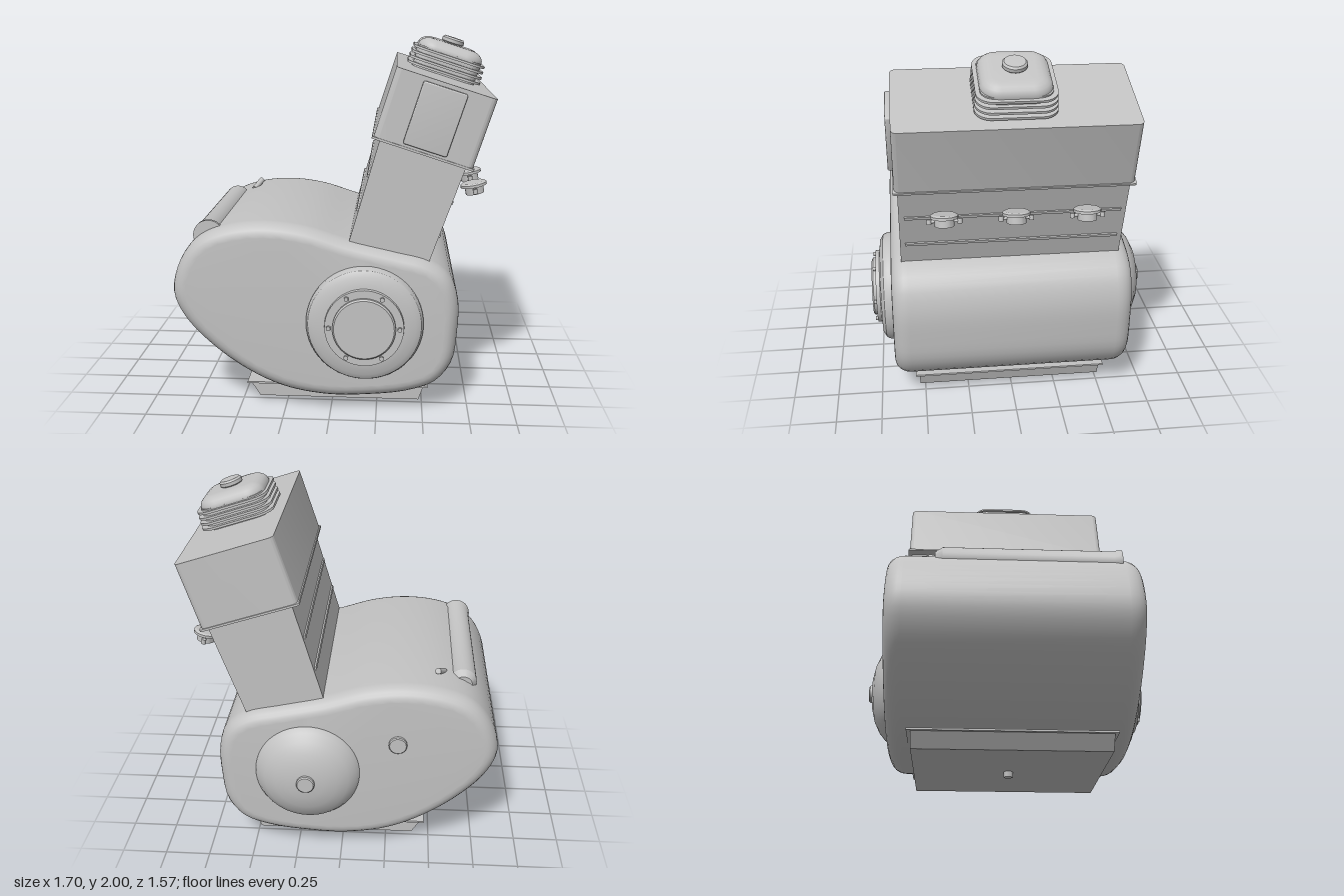
import * as THREE from 'three';
import { toCreasedNormals } from 'three/addons/utils/BufferGeometryUtils.js';

const grey = new THREE.MeshStandardMaterial({ color: 0xc2c2c2 });
grey.name = 'castGrey';

function add(parent, name, geometry, x = 0, y = 0, z = 0) {
  const mesh = new THREE.Mesh(geometry, grey);
  mesh.name = name;
  mesh.position.set(x, y, z);
  parent.add(mesh);
  return mesh;
}

function roundedRect(w, d, r) {
  const s = new THREE.Shape(), a = w / 2, b = d / 2;
  s.moveTo(a, -b + r);
  s.lineTo(a, b - r);
  s.absarc(a - r, b - r, r, 0, Math.PI / 2);
  s.lineTo(-a + r, b);
  s.absarc(-a + r, b - r, r, Math.PI / 2, Math.PI);
  s.lineTo(-a, -b + r);
  s.absarc(-a + r, -b + r, r, Math.PI, Math.PI * 1.5);
  s.lineTo(a - r, -b);
  s.absarc(a - r, -b + r, r, Math.PI * 1.5, Math.PI * 2);
  return s;
}

// Rounded slab standing on y = 0; bevel rounds its top and bottom inwards
function slab(w, d, h, r, bevel = 0, rise = bevel) {
  const g = new THREE.ExtrudeGeometry(roundedRect(w, d, r), {
    depth: h - 2 * rise, curveSegments: 6, bevelEnabled: bevel > 0,
    bevelSize: bevel, bevelThickness: rise, bevelOffset: -bevel, bevelSegments: 5,
  });
  g.translate(0, 0, rise).rotateX(-Math.PI / 2);
  return toCreasedNormals(g, 0.6);
}

// Turned part along +y from [radius, height] pairs
function turned(profile, segments = 40) {
  const g = new THREE.LatheGeometry(profile.map(p => new THREE.Vector2(...p)), segments);
  return toCreasedNormals(g, 0.5);
}

// Narrow or widen a box in x and z towards its bottom
function taperedBox(w, h, d, kx, kz, shift = 0) {
  const g = new THREE.BoxGeometry(w, h, d), p = g.attributes.position;
  for (let i = 0; i < p.count; i++) {
    if (p.getY(i) < 0) p.setXYZ(i, p.getX(i) * kx + shift, p.getY(i), p.getZ(i) * kz);
  }
  g.computeVertexNormals();
  return g;
}

export function createModel() {
  const model = new THREE.Group();
  model.name = 'engine';

  // Egg-shaped crankcase with rounded rims
  const outline = new THREE.CatmullRomCurve3([
    [-0.855, 0.66], [-0.8, 0.52], [-0.65, 0.355], [-0.45, 0.21], [-0.25, 0.12], [-0.02, 0.08],
    [0.2, 0.085], [0.42, 0.115], [0.57, 0.175], [0.655, 0.29], [0.68, 0.45], [0.68, 0.64],
    [0.63, 0.78], [0.52, 0.86], [0.34, 0.905], [0.1, 0.96], [-0.13, 1.03], [-0.35, 1.055],
    [-0.56, 1.03], [-0.71, 0.965], [-0.81, 0.84],
  ].map(p => new THREE.Vector3(p[0], p[1], 0)), true);
  const caseShape = new THREE.Shape(
    outline.getSpacedPoints(90).slice(0, -1).map(p => new THREE.Vector2(p.x, p.y)));
  const caseGeo = new THREE.ExtrudeGeometry(caseShape, {
    depth: 1.14, bevelSize: 0.075, bevelThickness: 0.09, bevelOffset: -0.075, bevelSegments: 6,
  });
  add(model, 'crankcase', toCreasedNormals(caseGeo.translate(0, 0, -0.565), 0.6));

  // Front cover with bolted cap
  const front = new THREE.Group();
  front.name = 'frontCover';
  front.position.set(0.185, 0.525, 0.66);
  front.rotation.x = Math.PI / 2;
  model.add(front);
  add(front, 'coverFlange', turned([[0.312, -0.03], [0.312, 0.025], [0.3, 0.05],
    [0.27, 0.068], [0.22, 0.073], [0.21, 0.075], [0.208, 0.097], [0, 0.097]], 56));
  add(front, 'coverCap', turned([[0.166, 0.09], [0.166, 0.113], [0.158, 0.121], [0, 0.121]], 48));
  for (let i = 0; i < 6; i++) {
    const a = i * Math.PI / 3;
    add(front, 'coverBolt', new THREE.CylinderGeometry(0.013, 0.013, 0.024, 6),
      0.187 * Math.cos(a), 0.1, 0.187 * Math.sin(a));
  }

  // Back dome with its knob, and a small plug beside it
  const back = new THREE.Group();
  back.name = 'backCover';
  back.position.set(0.185, 0.525, -0.65);
  back.rotation.x = -Math.PI / 2;
  model.add(back);
  add(back, 'backDome', turned([[0.288, -0.03], [0.288, 0.012], [0.27, 0.04], [0.23, 0.073],
    [0.17, 0.102], [0.1, 0.12], [0, 0.126]], 56));
  add(back, 'backKnob', turned([[0.05, 0.1], [0.05, 0.136], [0.044, 0.142], [0, 0.142]], 24));
  const plug = add(model, 'backPlug', turned([[0.05, -0.02], [0.05, 0.02], [0.045, 0.026], [0, 0.026]], 24),
    -0.31, 0.72, -0.65);
  plug.rotation.x = -Math.PI / 2;

  // Oil pan, rim and drain plug
  add(model, 'oilPan', taperedBox(0.965, 0.085, 1.045, 0.915, 0.995, 0.012), 0.028, 0.0725, 0.01);
  add(model, 'panRim', new THREE.BoxGeometry(1.0, 0.01, 1.085), 0.03, 0.115, 0.01);
  add(model, 'drainPlug', new THREE.CylinderGeometry(0.026, 0.026, 0.05, 6), 0.028, 0.025, 0.01);

  // Tube lying on the shoulder, and a small angled peg
  const tube = add(model, 'shoulderTube', turned([[0, 0], [0.083, 0], [0.083, 0.02], [0.076, 0.04],
    [0.076, 0.94], [0.05, 0.98], [0, 0.98]], 32), -0.66, 0.965, 0.57);
  tube.rotation.x = -Math.PI / 2;
  const peg = add(model, 'peg', new THREE.CylinderGeometry(0.017, 0.017, 0.1, 16), -0.535, 1.045, -0.405);
  peg.quaternion.setFromUnitVectors(new THREE.Vector3(0, 1, 0),
    new THREE.Vector3(0.03, 0.035, -0.07).normalize());

  // Leaning cylinder block; its own origin is the middle of the head joint
  const tower = new THREE.Group();
  tower.name = 'cylinderTower';
  tower.position.set(0.475, 1.423, 0.008);
  tower.rotation.z = -0.309;
  model.add(tower);
  add(tower, 'cylinderBlock', taperedBox(0.466, 0.76, 1.195, 0.91, 1), 0, -0.37, 0);
  for (const side of [-1, 1]) {
    for (const v of [-0.2, -0.39]) {
      add(tower, 'blockRib', new THREE.BoxGeometry(0.022, 0.016, 1.14), side * (0.229 + 0.02 * v), v, 0);
    }
  }

  // Head with bottom lip and front panel
  add(tower, 'headLip', slab(0.552, 1.24, 0.012, 0.012));
  add(tower, 'head', slab(0.537, 1.226, 0.384, 0.03));
  const panel = add(tower, 'headPanel', slab(0.235, 0.335, 0.05, 0.012, 0.008), 0, 0.195, 0.59);
  panel.rotation.x = Math.PI / 2;

  // Finned cap on the head
  add(tower, 'capCore', slab(0.36, 0.36, 0.13, 0.07), 0, 0.375, 0);
  for (let i = 0; i < 4; i++) {
    add(tower, 'capFin', slab(0.42 - i * 0.004, 0.416 - i * 0.004, 0.013, 0.085), 0, 0.394 + i * 0.03, 0);
  }
  add(tower, 'capDome', slab(0.37, 0.36, 0.16, 0.1, 0.075, 0.055), 0, 0.398, 0);
  add(tower, 'capKnob', turned([[0.05, 0], [0.063, 0.012], [0.063, 0.03], [0.054, 0.04], [0, 0.042]], 28),
    0, 0.552, 0);

  // Row of three eared caps beside the block
  for (const z of [0.375, 0.01, -0.355]) {
    const cap = new THREE.Group();
    cap.name = 'sideCap';
    cap.position.set(0.763, 1.205, z);
    cap.rotation.z = 0.2;
    model.add(cap);
    add(cap, 'capLid', turned([[0, -0.03], [0.05, -0.03], [0.05, 0.008], [0.071, 0.012],
      [0.071, 0.026], [0.06, 0.033], [0, 0.033]], 28));
    const bar = add(cap, 'earBar', new THREE.CylinderGeometry(0.008, 0.008, 0.16, 10), 0, -0.005, 0);
    bar.rotation.x = Math.PI / 2;
    for (const s of [-1, 1]) {
      add(cap, 'ear', new THREE.CylinderGeometry(0.013, 0.013, 0.026, 12), 0, -0.005, s * 0.078);
    }
  }

  return model;
}
